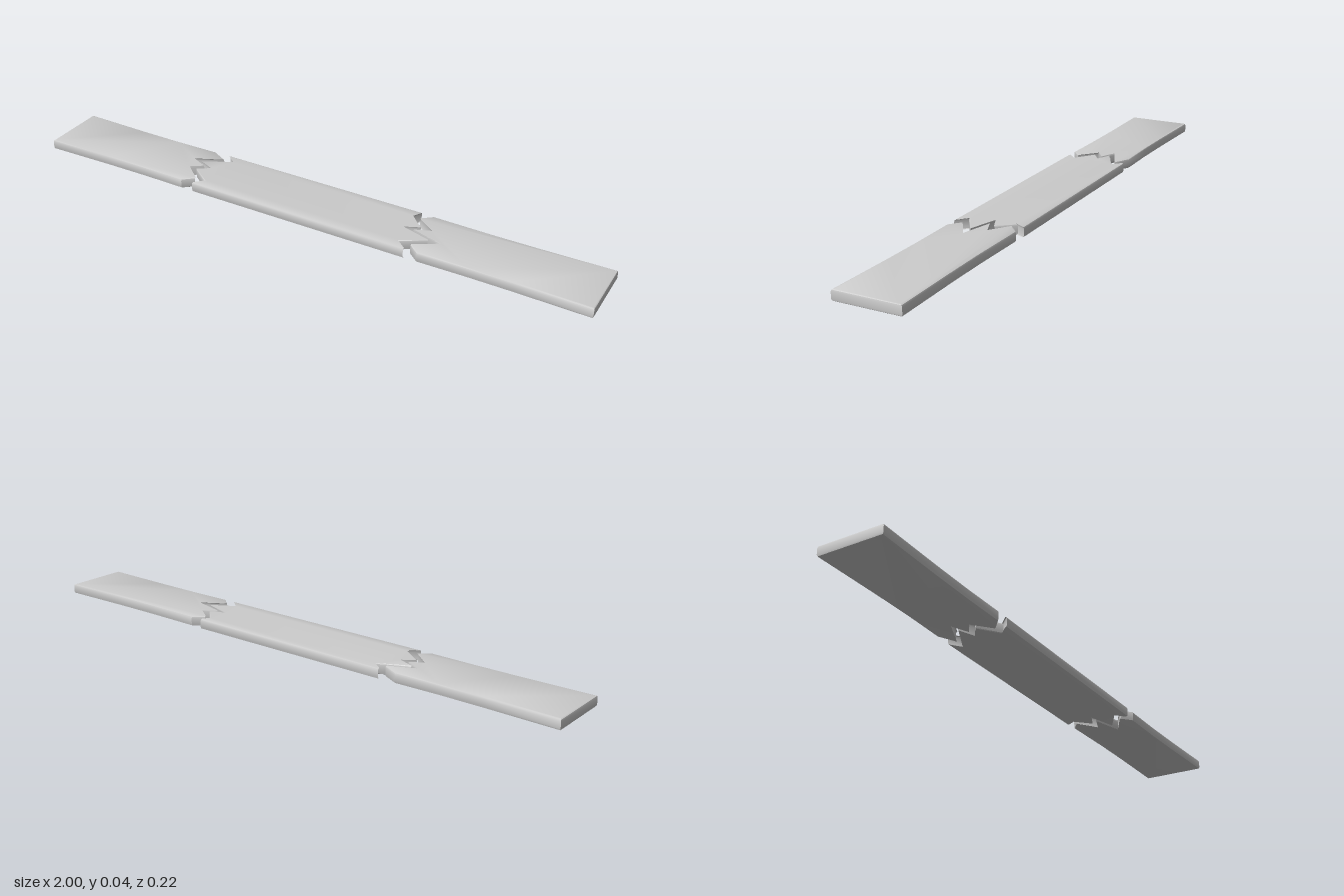
import * as THREE from 'three';
import { toCreasedNormals } from 'three/addons/utils/BufferGeometryUtils.js';

// Rounded edge profile from bottom to top: [height, inset]
const EDGE = [[0, 0.007], [0.002, 0.002], [0.007, 0], [0.028, 0], [0.033, 0.002], [0.035, 0.007]];

// Jagged break lines, back to front: [x, z]
const leftOuter = [[-0.45, -0.109], [-0.395, -0.08], [-0.487, -0.035], [-0.43, -0.008], [-0.47, 0.022], [-0.41, 0.077], [-0.445, 0.108]];
const leftInner = [[-0.39, -0.112], [-0.355, -0.083], [-0.455, -0.03], [-0.40, -0.006], [-0.44, 0.024], [-0.37, 0.077], [-0.40, 0.109]];
const rightInner = [[0.35, -0.112], [0.335, -0.083], [0.385, -0.03], [0.335, -0.006], [0.435, 0.025], [0.355, 0.077], [0.39, 0.109]];
const rightOuter = [[0.395, -0.109], [0.36, -0.08], [0.425, -0.03], [0.37, -0.006], [0.48, 0.025], [0.40, 0.077], [0.435, 0.108]];

// Straight outer end followed by gently bowed long sides
const endLine = (s) => [[s * 0.6, -0.106], [s * 0.75, -0.107], [s, -0.112], [s, 0.112], [s * 0.75, 0.107], [s * 0.6, 0.106]];

const material = new THREE.MeshStandardMaterial({ color: 0xcccccc });

// Plank piece between two edge lines, with rounded sides and outer ends
function piece(name, left, right) {
  const outline = [...left, ...[...right].reverse()];
  const shape = new THREE.Shape(outline.map(([x, z]) => new THREE.Vector2(x, -z)));
  const steps = EDGE.length - 1;
  const geo = new THREE.ExtrudeGeometry(shape, { depth: 1, steps, bevelEnabled: false });
  geo.rotateX(-Math.PI / 2);
  const p = geo.attributes.position;
  for (let i = 0; i < p.count; i++) {
    const [y, inset] = EDGE[Math.round(p.getY(i) * steps)];
    const x = p.getX(i);
    const endInset = Math.abs(x) > 0.9 ? inset * 0.6 : 0;
    p.setXYZ(i, x - Math.sign(x) * endInset, y, p.getZ(i) * (1 - inset / 0.112));
  }
  const mesh = new THREE.Mesh(toCreasedNormals(geo, 0.6), material);
  mesh.name = name;
  return mesh;
}

export function createModel() {
  const group = new THREE.Group();
  group.name = 'brokenPlank';
  group.add(
    piece('rightEndPiece', endLine(-1), leftOuter),
    piece('middlePiece', leftInner, rightInner),
    piece('leftEndPiece', rightOuter, endLine(1)),
  );
  return group;
}
